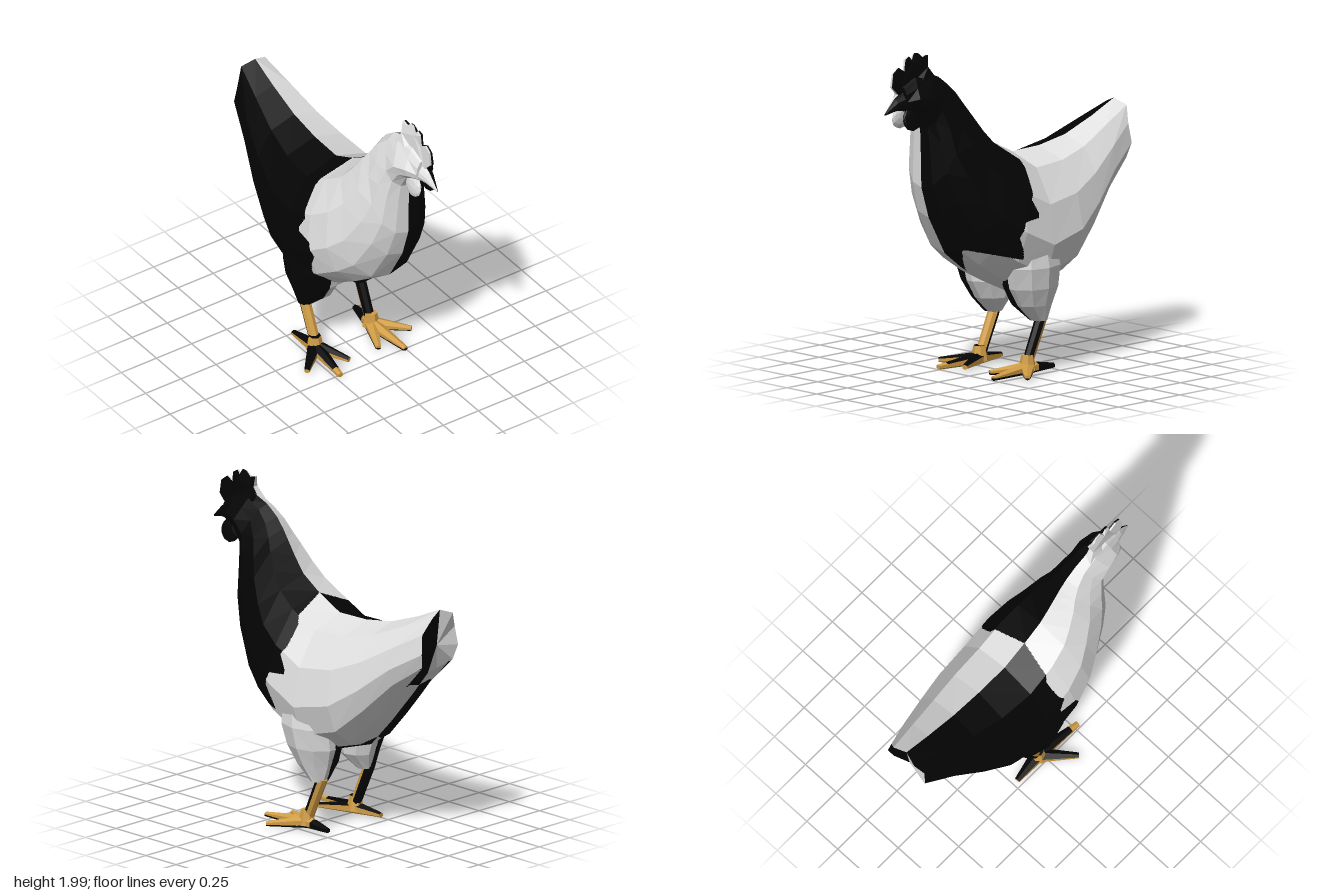
import * as THREE from 'three';

const mat = (name, color) => Object.assign(new THREE.MeshStandardMaterial({ color }), { name });

// Flat facets in two materials; a face is split further only where the colour edge crosses it
function paint(name, geometry, isDark, materials, minLevel = 0, maxLevel = 0) {
  const src = geometry.index ? geometry.toNonIndexed() : geometry;
  const p = src.attributes.position;
  const sets = [[], []];
  const mid = (a, b) => a.clone().add(b).multiplyScalar(0.5);
  const split = (a, b, c, n, level) => {
    const m = a.clone().add(b).add(c).divideScalar(3);
    const dark = isDark(m, n);
    const mixed = [a, b, c].some(v => isDark(v.clone().lerp(m, 0.02), n) !== dark);
    if (level >= maxLevel || (level >= minLevel && !mixed)) {
      for (const v of [a, b, c]) sets[dark ? 1 : 0].push(v.x, v.y, v.z);
      return;
    }
    const ab = mid(a, b), bc = mid(b, c), ca = mid(c, a);
    split(a, ab, ca, n, level + 1);
    split(ab, b, bc, n, level + 1);
    split(ca, bc, c, n, level + 1);
    split(ab, bc, ca, n, level + 1);
  };
  for (let i = 0; i < p.count; i += 3) {
    const [a, b, c] = [0, 1, 2].map(k => new THREE.Vector3().fromBufferAttribute(p, i + k));
    const n = b.clone().sub(a).cross(c.clone().sub(a));
    if (n.length() > 1e-9) split(a, b, c, n.normalize(), 0);
  }
  const g = new THREE.BufferGeometry();
  g.setAttribute('position', new THREE.Float32BufferAttribute([...sets[0], ...sets[1]], 3));
  g.addGroup(0, sets[0].length / 3, 0);
  g.addGroup(sets[0].length / 3, sets[1].length / 3, 1);
  g.computeVertexNormals();
  const mesh = new THREE.Mesh(g, materials);
  mesh.name = name;
  return mesh;
}

// Closed skin through rings of points
function loft(rings) {
  const n = rings[0].length, pos = [], idx = [];
  const add = v => pos.push(v.x, v.y, v.z);
  rings.forEach(r => r.forEach(add));
  rings.slice(1).forEach((_, i) => {
    for (let j = 0; j < n; j++) {
      const a = i * n + j, b = i * n + (j + 1) % n;
      if (j < n / 2) idx.push(a, b, a + n, b, b + n, a + n);
      else idx.push(a, b, b + n, a, b + n, a + n);
    }
  });
  [0, rings.length - 1].forEach((r, e) => {
    const c = new THREE.Vector3();
    rings[r].forEach(v => c.add(v));
    add(c.divideScalar(n));
    const ci = rings.length * n + e;
    for (let j = 0; j < n; j++) {
      const a = r * n + j, b = r * n + (j + 1) % n;
      idx.push(ci, ...(e ? [a, b] : [b, a]));
    }
  });
  const g = new THREE.BufferGeometry();
  g.setAttribute('position', new THREE.Float32BufferAttribute(pos, 3));
  g.setIndex(idx);
  return g;
}

// Half outline of a body section: width share, height share from bottom to top
const HALF = [[0, 0], [0.45, 0.04], [0.84, 0.18], [1, 0.4], [0.89, 0.68], [0.56, 0.92], [0, 1]];
const OUTLINE = [...HALF, ...HALF.slice(1, -1).reverse().map(([x, t]) => [-x, t])];

// Section from top z, top y, bottom z, bottom y, half width and crown width share
const section = ([tz, ty, bz, by, w, crown = 1]) => OUTLINE.map(([x, t]) =>
  new THREE.Vector3(x * w * (t > 0.6 ? crown : 1), by + (ty - by) * t, bz + (tz - bz) * t));

// Rear edge of the front patch: height, z
const EDGE = [[0.73, 0.11], [0.79, 0.13], [0.87, 0.17], [0.96, 0.13], [0.97, 0], [1.08, 0.06],
  [1.13, 0.03], [1.25, 0.015], [1.39, 0.07]];
function edgeAt(y) {
  const i = EDGE.findIndex(e => e[0] > y);
  if (i < 1) return EDGE[i < 0 ? EDGE.length - 1 : 0][1];
  const [[y0, z0], [y1, z1]] = [EDGE[i - 1], EDGE[i]];
  return z0 + (z1 - z0) * (y - y0) / (y1 - y0);
}

export function createModel() {
  const model = new THREE.Group();
  model.name = 'rooster';
  const white = mat('white', 0xe0e0e0);
  const black = mat('black', 0x040404);
  const gold = mat('gold', 0xd09c45);
  const plumage = [white, black];
  const horn = [gold, black];

  // Harlequin plumage: each patch swaps colour across the middle
  const bodyDark = (m, n) => {
    const ax = Math.abs(m.x);
    const hem = m.x > 0 ? Math.min(0.7 + 0.25 * m.z, 0.64 + 1.2 * ax) : 0.52 + 0.4 * ax;
    const front = m.z > edgeAt(m.y) && m.y > hem;
    const belly = ax < 0.2 && m.y < (m.z < -0.1 ? 0.61 - 0.5 * ax : 0.47 + 0.6 * ax);
    const tailEnd = m.z < -0.76 && n.z < -0.6 && (ax < 0.11 || m.y > 1.15);
    return (m.x > 0) === (front || belly || tailEnd);
  };
  const headDark = m => m.x > 0;

  // Body from tail to face
  const bodyRings = [
    [-0.93, 1.5, -0.83, 1.09, 0.15], [-0.75, 1.42, -0.71, 0.94, 0.22],
    [-0.53, 1.34, -0.53, 0.73, 0.29], [-0.32, 1.305, -0.36, 0.55, 0.345],
    [-0.1, 1.3, -0.08, 0.46, 0.37], [0.08, 1.39, 0.16, 0.57, 0.365],
    [0.2, 1.47, 0.32, 0.67, 0.33], [0.27, 1.56, 0.45, 0.77, 0.28],
    [0.33, 1.65, 0.58, 1.0, 0.225], [0.37, 1.71, 0.64, 1.19, 0.185, 0.95],
    [0.42, 1.77, 0.645, 1.4, 0.155, 0.9], [0.5, 1.83, 0.65, 1.54, 0.125, 0.85],
    [0.6, 1.87, 0.7, 1.63, 0.12, 0.8], [0.72, 1.87, 0.76, 1.66, 0.1, 0.75],
    [0.81, 1.82, 0.81, 1.67, 0.06],
  ].map(section);
  // Ragged feather tips along the tail edge
  bodyRings[0].forEach((v, j) => {
    v.z -= [0, 0, 0.06, 0.06, 0.02, 0.03, 0][Math.min(j, 12 - j)];
  });
  model.add(paint('body', loft(bodyRings), bodyDark, plumage, 2, 5));

  // Beak
  const beak = loft([[0.79, 1.79, 0.79, 1.67, 0.055], [0.86, 1.75, 0.86, 1.675, 0.032],
    [0.94, 1.67, 0.938, 1.66, 0.004]].map(section));
  model.add(paint('beak', beak, headDark, plumage, 0, 2));

  // Comb: outline in the side plane, thinning towards its tips and front
  const outline = [[0.57, 1.84], [0.615, 1.91], [0.6, 1.975], [0.64, 1.965], [0.67, 1.995], [0.7, 2],
    [0.725, 1.95], [0.745, 1.985], [0.77, 1.97], [0.78, 1.9], [0.83, 1.93], [0.87, 1.9], [0.88, 1.82],
    [0.83, 1.77], [0.7, 1.82]];
  const shape = new THREE.Shape(outline.map(([z, y]) => new THREE.Vector2(-z, y)));
  const comb = new THREE.ExtrudeGeometry(shape, { depth: 1, bevelEnabled: false });
  comb.translate(0, 0, -0.5).rotateY(Math.PI / 2);
  const cp = comb.attributes.position;
  for (let i = 0; i < cp.count; i++) {
    const taper = cp.getZ(i) > 0.77 ? 0.12 : 0.6;
    cp.setX(i, cp.getX(i) * (0.01 + taper * (2 - cp.getY(i))));
  }
  model.add(paint('comb', comb, headDark, plumage, 0, 4));

  for (const s of [1, -1]) {
    const side = s > 0 ? 'left' : 'right';

    // Wattle
    const wattle = new THREE.IcosahedronGeometry(1, 1);
    wattle.scale(0.022, 0.072, 0.074).rotateZ(s * 0.15).translate(s * 0.045, 1.622, 0.76);
    model.add(paint(side + 'Wattle', wattle, headDark, plumage));

    // Thigh: y, centre x, centre z, radius x, radius z
    const thigh = loft([
      [0.32, 0.19, -0.125, 0.06, 0.05], [0.42, 0.17, -0.09, 0.122, 0.125],
      [0.53, 0.178, -0.075, 0.155, 0.18], [0.66, 0.2, -0.06, 0.155, 0.2],
      [0.8, 0.22, -0.05, 0.12, 0.17],
    ].map(([y, cx, cz, rx, rz]) => Array.from({ length: 10 }, (_, j) => {
      const a = j / 10 * Math.PI * 2;
      return new THREE.Vector3(s * cx + rx * Math.cos(a), y, cz - rz * Math.sin(a));
    })));
    const thighDark = m => (m.x > 0) === (Math.abs(m.x) < 0.18 && m.y < 0.6);
    model.add(paint(side + 'Thigh', thigh, thighDark, plumage, 1, 4));

    // Shank, leaning back towards the thigh
    const shank = new THREE.CylinderGeometry(0.035, 0.032, 0.29, 8);
    shank.rotateX(-0.42).translate(s * 0.195, 0.21, -0.095);
    model.add(paint(side + 'Shank', shank, (m, n) => (s > 0) === (n.z > 0), horn));

    // Foot joint and four toes
    const foot = new THREE.Group();
    foot.name = side + 'Foot';
    const toeDark = (m, n) => s > 0
      ? n.y < -0.2 || m.z < -0.09 || m.y < 0.032
      : n.y > 0.4 && m.z < 0.22;
    const ankle = new THREE.CylinderGeometry(0.036, 0.055, 0.09, 7);
    ankle.translate(s * 0.2, 0.078, -0.03);
    foot.add(paint('ankle', ankle, toeDark, horn));
    for (const [name, turn, length] of [['middleToe', 0.1, 0.31], ['outerToe', 0.8, 0.24],
      ['innerToe', -0.42, 0.235], ['backToe', Math.PI - 0.1, 0.195]]) {
      const toe = new THREE.CylinderGeometry(0.018, 0.046, length, 6);
      toe.rotateX(Math.PI / 2).translate(0, 0, length / 2).scale(1, 0.85, 1);
      toe.rotateX(0.05).rotateY(s * turn).translate(s * 0.2, 0.047, -0.03);
      foot.add(paint(name, toe, toeDark, horn, 0, 4));
    }
    model.add(foot);
  }
  return model;
}
